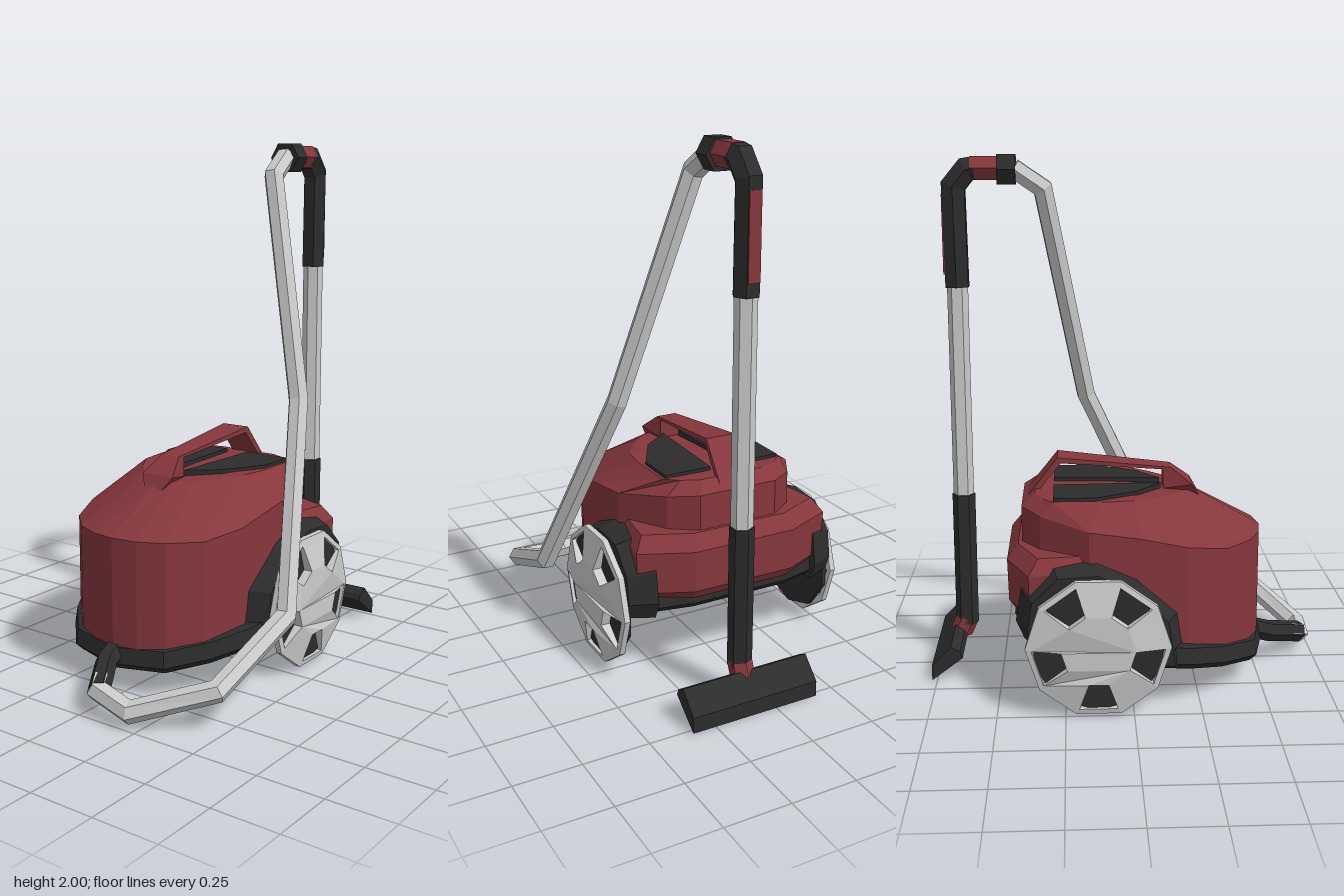
import * as THREE from 'three';

const V = (x, y, z) => new THREE.Vector3(x, y, z);
const material = (color) => new THREE.MeshStandardMaterial({ color, flatShading: true, side: THREE.DoubleSide });
const grey = material(0xcccccc), red = material(0x86373c), dark = material(0x2c2c2c);
const CX = -0.045; // middle of the body
const WAND_X = 0.085;

function add(parent, name, geometry, mat) {
  const mesh = new THREE.Mesh(geometry, mat);
  mesh.name = name;
  parent.add(mesh);
  return mesh;
}

// Skin a stack of equal-length rings and close both ends
function skin(rings) {
  const pos = [], n = rings[0].length;
  const tri = (...pts) => pts.forEach((p) => pos.push(p.x, p.y, p.z));
  const centre = (ring) => ring.reduce((s, p) => s.add(p), V(0, 0, 0)).divideScalar(n);
  const first = rings[0], last = rings[rings.length - 1];
  const c0 = centre(first), c1 = centre(last);
  for (let j = 0; j < n; j++) {
    const k = (j + 1) % n;
    for (let i = 0; i + 1 < rings.length; i++) {
      const a = rings[i], b = rings[i + 1];
      tri(a[j], a[k], b[k]);
      tri(a[j], b[k], b[j]);
    }
    tri(c0, first[k], first[j]);
    tri(c1, last[j], last[k]);
  }
  const g = new THREE.BufferGeometry();
  g.setAttribute('position', new THREE.Float32BufferAttribute(pos, 3));
  g.computeVertexNormals();
  return g;
}

// Full ring from half an outline running front centre -> left -> back centre
function mirrorRing(half) {
  const right = half.slice(1, -1).reverse().map(([x, y, z]) => V(-x, y, z));
  return [...half.map((p) => V(...p)), ...right];
}

// Mitred, capped tube along a polyline
function pipe(points, radius, sides = 6) {
  const pts = points.map((p) => V(...p));
  const dirs = pts.slice(1).map((p, i) => p.clone().sub(pts[i]).normalize());
  let normal = Math.abs(dirs[0].y) > 0.9 ? V(1, 0, 0) : V(0, 1, 0);
  return skin(pts.map((p, i) => {
    const din = dirs[Math.max(i - 1, 0)], dout = dirs[Math.min(i, dirs.length - 1)];
    const t = din.clone().add(dout).normalize();
    const bend = dout.clone().sub(din).normalize();
    const stretch = 1 / t.dot(din) - 1;
    normal = normal.clone().addScaledVector(t, -normal.dot(t)).normalize();
    const side = t.clone().cross(normal);
    return Array.from({ length: sides }, (_, k) => {
      const a = ((k + 0.5) / sides) * Math.PI * 2;
      const o = normal.clone().multiplyScalar(Math.cos(a) * radius).addScaledVector(side, Math.sin(a) * radius);
      return o.addScaledVector(bend, o.dot(bend) * stretch).add(p);
    });
  }));
}

// Extrude a [z, y] side profile along +x, starting at x0
function sideExtrude(profile, x0, depth, holes = []) {
  const flip = (list) => list.map(([z, y]) => new THREE.Vector2(-z, y));
  const shape = new THREE.Shape(flip(profile));
  holes.forEach((h) => shape.holes.push(new THREE.Path(flip(h))));
  const g = new THREE.ExtrudeGeometry(shape, { depth, bevelEnabled: false });
  return g.rotateY(Math.PI / 2).translate(x0, 0, 0);
}

// Move every vertex by a rule
function warp(g, rule) {
  const p = g.attributes.position, v = V(0, 0, 0);
  for (let i = 0; i < p.count; i++) {
    rule(v.fromBufferAttribute(p, i));
    p.setXYZ(i, v.x, v.y, v.z);
  }
  g.computeVertexNormals();
  return g;
}

function makeBody() {
  const body = new THREE.Group();
  body.name = 'body';
  body.position.x = CX;

  // Sloping chassis
  const under = (z) => 0.19 - 0.2 * z;
  const outline = [[0, 0.53], [0.21, 0.48], [0.33, 0.35], [0.41, 0.21], [0.445, 0.1], [0.43, -0.2], [0.39, -0.38], [0.2, -0.44], [0, -0.44]];
  const level = (scale, lift) => mirrorRing(outline.map(([x, z]) => [x * scale, under(z) + lift, z * scale]));
  add(body, 'chassis', skin([level(0.95, 0), level(1, 0.025), level(0.98, 0.085)]), dark);

  // Main shell: foot, shoulder and crown outlines
  const shoulder = [[0, 0.58, 0.51], [0.1, 0.58, 0.495], [0.2, 0.58, 0.45], [0.3, 0.58, 0.35], [0.36, 0.605, 0.2],
    [0.375, 0.645, 0.03], [0.37, 0.67, -0.16], [0.26, 0.7, -0.34], [0.16, 0.71, -0.41], [0, 0.71, -0.41]];
  const crown = [[0, 0.735, 0.24], [0.06, 0.735, 0.22], [0.12, 0.74, 0.17], [0.19, 0.745, 0.09], [0.24, 0.75, 0.01],
    [0.255, 0.75, -0.11], [0.25, 0.75, -0.29], [0.2, 0.75, -0.33], [0.13, 0.75, -0.36], [0, 0.75, -0.36]];
  const foot = shoulder.map(([x, , z]) => [x, under(z) + 0.04, z]);
  add(body, 'shell', skin([foot, shoulder, crown].map(mirrorRing)), red);

  // Rear bumper band
  const band = [[0, -0.05], [0.36, -0.05], [0.405, -0.38], [0.21, -0.465], [0, -0.465]];
  const bandRing = (y, s, frontY = y) => mirrorRing(band.map(([x, z]) => [x * s, z > -0.1 ? frontY : y, z * s]));
  add(body, 'rearBumper', skin([bandRing(0.28, 0.88), bandRing(0.36, 0.99), bandRing(0.52, 1), bandRing(0.575, 0.91)]), red);

  // Dark panels on the lid, either side of the handle
  const panel = [[0.24, -0.29], [0.05, -0.29], [0.035, 0.12], [0.15, 0.03], [0.24, -0.13]];
  for (const s of [1, -1]) {
    const shape = new THREE.Shape(panel.map(([x, z]) => new THREE.Vector2(s * x, -z)));
    const g = new THREE.ExtrudeGeometry(shape, { depth: 0.05, bevelEnabled: false });
    add(body, 'lidPanel', g.rotateX(-Math.PI / 2).translate(0, 0.712, 0), dark);
  }

  // Carry handle, narrowing forwards and flaring at its front foot
  const handle = [[0.27, 0.71], [0.24, 0.76], [0.16, 0.822], [-0.275, 0.87], [-0.41, 0.7],
    [-0.35, 0.74], [-0.262, 0.848], [0.13, 0.815], [0.13, 0.74]];
  add(body, 'handle', warp(sideExtrude(handle, -1, 2), (v) => {
    const width = v.z > 0.2 ? (v.z > 0.25 ? 0.04 : 0.07) : 0.048 - 0.045 * v.z;
    v.x *= width;
  }), red);
  return body;
}

function makeWheelSide(sign) {
  const side = new THREE.Group();
  side.name = sign > 0 ? 'leftWheel' : 'rightWheel';
  side.position.x = CX;
  side.scale.x = sign;
  const cz = -0.13, cy = 0.265, R = 0.265;

  // Wheel fairing, tapering outwards
  const arch = [[0.2, 0.16], [0.17, 0.36], [0.02, 0.5], [-0.13, 0.565], [-0.3, 0.555], [-0.41, 0.45], [-0.43, 0.33], [-0.4, 0.26]];
  add(side, 'fairing', warp(sideExtrude(arch, 0.34, 0.1), (v) => {
    if (v.x > 0.4) {
      v.z = cz + (v.z - cz) * 0.85;
      v.y = 0.3 + (v.y - 0.3) * 0.87;
    }
  }), dark);
  const disc = new THREE.CylinderGeometry(0.245, 0.245, 0.03, 10);
  add(side, 'wheelBack', disc.rotateZ(Math.PI / 2).rotateX(Math.PI / 10).translate(0.438, cy, cz), dark);

  // Ten-sided rim with five windows, dished out towards the hub
  const rim = Array.from({ length: 10 }, (_, i) => {
    const a = (i * Math.PI) / 5;
    return [cz + R * Math.cos(a), cy + R * Math.sin(a)];
  });
  const windows = Array.from({ length: 5 }, (_, i) => {
    const a = -Math.PI / 2 + (i * Math.PI * 2) / 5, c = Math.cos(a), s = Math.sin(a);
    return [[0.13, -0.036], [0.232, -0.07], [0.232, 0.07], [0.13, 0.036]].map(([r, w]) => [cz + r * c - w * s, cy + r * s + w * c]);
  });
  add(side, 'wheel', warp(sideExtrude(rim, 0.44, 0.022, windows), (v) => {
    const r = Math.hypot(v.z - cz, v.y - cy);
    if (v.x > 0.45) v.x += 0.055 * (1 - r / R);
  }), grey);
  return side;
}

function makeHoseAndWand() {
  const group = new THREE.Group();
  group.name = 'hoseAndWand';

  // Hose
  add(group, 'hoseConnector', pipe([[-0.05, 0.15, 0.48], [-0.035, 0.125, 0.56], [0.05, 0.085, 0.7]], 0.042), dark);
  add(group, 'hose', pipe([[0.02, 0.1, 0.65], [0.05, 0.085, 0.7], [0.205, 0.055, 0.72], [0.46, 0.14, 0.56], [0.49, 0.3, 0.17],
    [0.325, 1.03, -0.16], [0.1, 1.87, -0.32], [WAND_X, 1.945, -0.43]], 0.04), grey);

  // Grip
  const wand = (name, mat, r, ...pts) => add(group, name, pipe(pts.map(([y, z]) => [WAND_X, y, z]), r), mat);
  wand('gripCollar', dark, 0.064, [1.94, -0.42], [1.94, -0.49]);
  wand('gripRing', red, 0.05, [1.945, -0.48], [1.945, -0.59]);
  wand('grip', dark, 0.05, [1.945, -0.575], [1.94, -0.605], [1.88, -0.655], [1.5, -0.65]);
  add(group, 'gripInset', new THREE.BoxGeometry(0.046, 0.3, 0.02).translate(WAND_X, 1.7, -0.69), red);

  // Tubes
  wand('upperTube', grey, 0.04, [1.52, -0.65], [0.67, -0.65]);
  wand('lowerTube', dark, 0.045, [0.68, -0.65], [0.14, -0.65]);
  wand('neck', red, 0.045, [0.16, -0.648], [0.1, -0.675]);

  // Floor head
  const head = [[-0.65, 0.09], [-0.66, 0.115], [-0.695, 0.135], [-0.77, 0.06], [-0.77, 0.0]];
  add(group, 'floorHead', sideExtrude(head, -0.17, 0.51), dark);
  return group;
}

export function createModel() {
  const model = new THREE.Group();
  model.name = 'vacuumCleaner';
  model.add(makeBody(), makeWheelSide(1), makeWheelSide(-1), makeHoseAndWand());
  return model;
}
